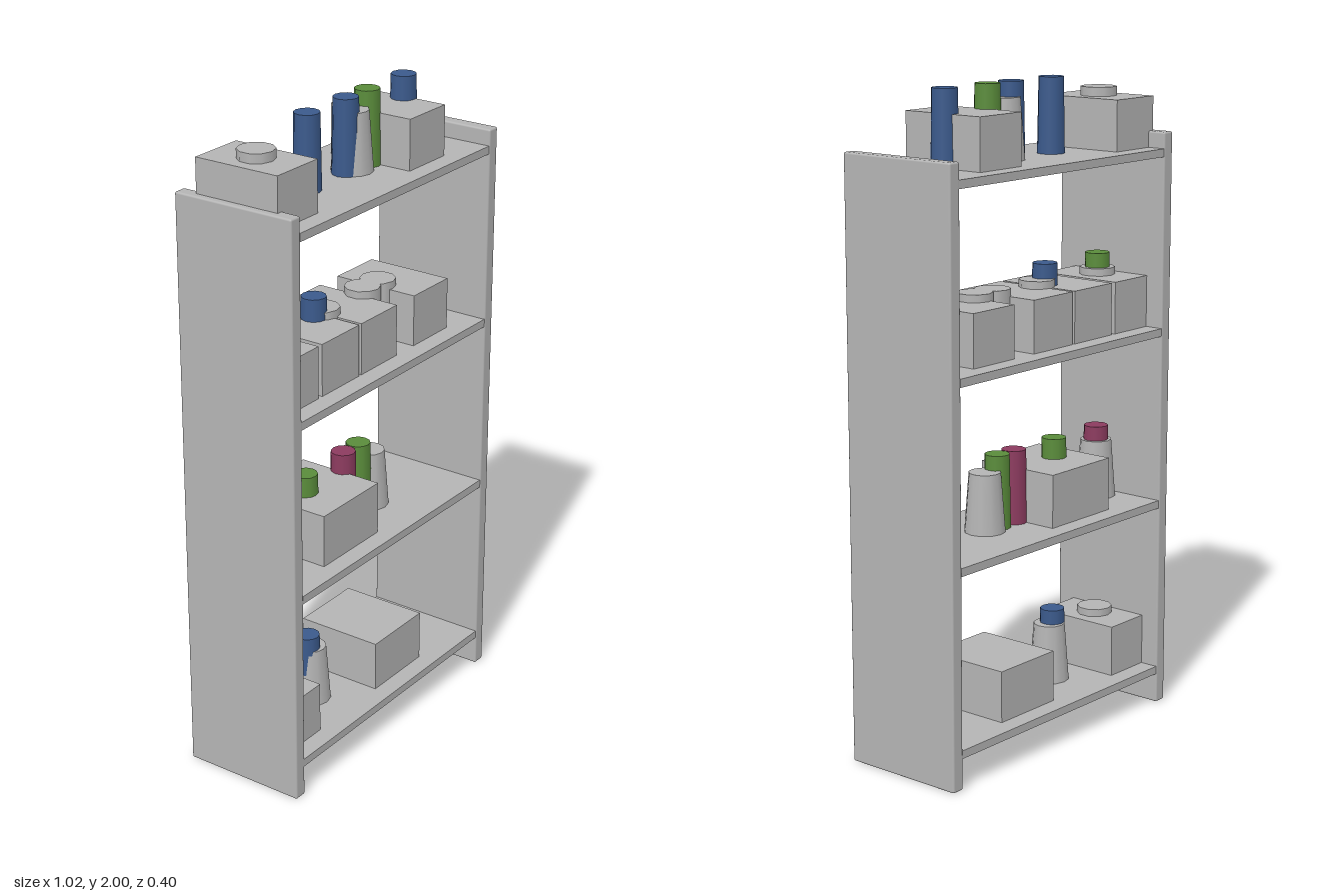
import * as THREE from 'three';
import { RoundedBoxGeometry } from 'three/addons/geometries/RoundedBoxGeometry.js';

const grey = new THREE.MeshStandardMaterial({ color: 0xb4b4b4 });
const blue = new THREE.MeshStandardMaterial({ color: 0x3b5a8c });
const green = new THREE.MeshStandardMaterial({ color: 0x5a8c3b });
const crimson = new THREE.MeshStandardMaterial({ color: 0x8c3b5f });
grey.name = 'grey';
blue.name = 'blue';
green.name = 'green';
crimson.name = 'crimson';

// Each shelf's top height and its goods, placed by x
const SHELVES = [
  { y: 0.12,
    cartons: [[-0.4, 0.18, 0.16], [0.103, 0.245, 0.16]],
    jars: [-0.4], flasks: [-0.17], bottles: [[-0.185, blue]] },
  { y: 0.67,
    cartons: [[-0.15, 0.275, 0.165]],
    jars: [], flasks: [-0.4, 0.137],
    bottles: [[-0.4, crimson], [-0.19, green], [0.003, crimson], [0.08, green]] },
  { y: 1.22,
    cartons: [[-0.4, 0.18, 0.16], [-0.203, 0.18, 0.16], [-0.012, 0.18, 0.16], [0.257, 0.18, 0.16]],
    jars: [-0.4, -0.105, 0.1, 0.18], flasks: [],
    bottles: [[-0.4, green], [-0.143, blue]] },
  { y: 1.775,
    cartons: [[-0.4, 0.18, 0.155], [0.225, 0.18, 0.155]],
    jars: [-0.4], flasks: [0.047],
    bottles: [[-0.17, blue], [0.015, blue], [0.12, green], [0.305, blue]] },
];

function add(parent, name, geometry, material, x, y) {
  const mesh = new THREE.Mesh(geometry, material);
  mesh.name = name;
  mesh.position.set(x, y, 0);
  parent.add(mesh);
}

export function createModel() {
  const model = new THREE.Group();
  model.name = 'stockedShelf';

  // Upright side panels with softened edges
  for (const side of [-1, 1]) {
    add(model, side < 0 ? 'rightPanel' : 'leftPanel',
      new RoundedBoxGeometry(0.042, 1.825, 0.4, 2, 0.006), grey, side * 0.49, 0.9125);
  }

  // Shared geometry for the round goods
  const jar = new THREE.CylinderGeometry(0.055, 0.057, 0.183, 10);
  const flask = new THREE.CylinderGeometry(0.049, 0.063, 0.183, 12);
  const bottle = new THREE.CylinderGeometry(0.038, 0.042, 0.228, 12);

  for (const { y, cartons, jars, flasks, bottles } of SHELVES) {
    const shelf = new THREE.Group();
    shelf.name = 'shelf';
    shelf.position.y = y;
    model.add(shelf);

    add(shelf, 'board', new THREE.BoxGeometry(0.94, 0.025, 0.396), grey, 0, -0.0125);
    for (const [x, width, height] of cartons) {
      add(shelf, 'carton', new THREE.BoxGeometry(width, height, 0.28), grey, x, height / 2);
    }
    for (const x of jars) add(shelf, 'jar', jar, grey, x, 0.0915);
    for (const x of flasks) add(shelf, 'flask', flask, grey, x, 0.0915);
    for (const [x, material] of bottles) add(shelf, 'bottle', bottle, material, x, 0.114);
  }
  return model;
}
